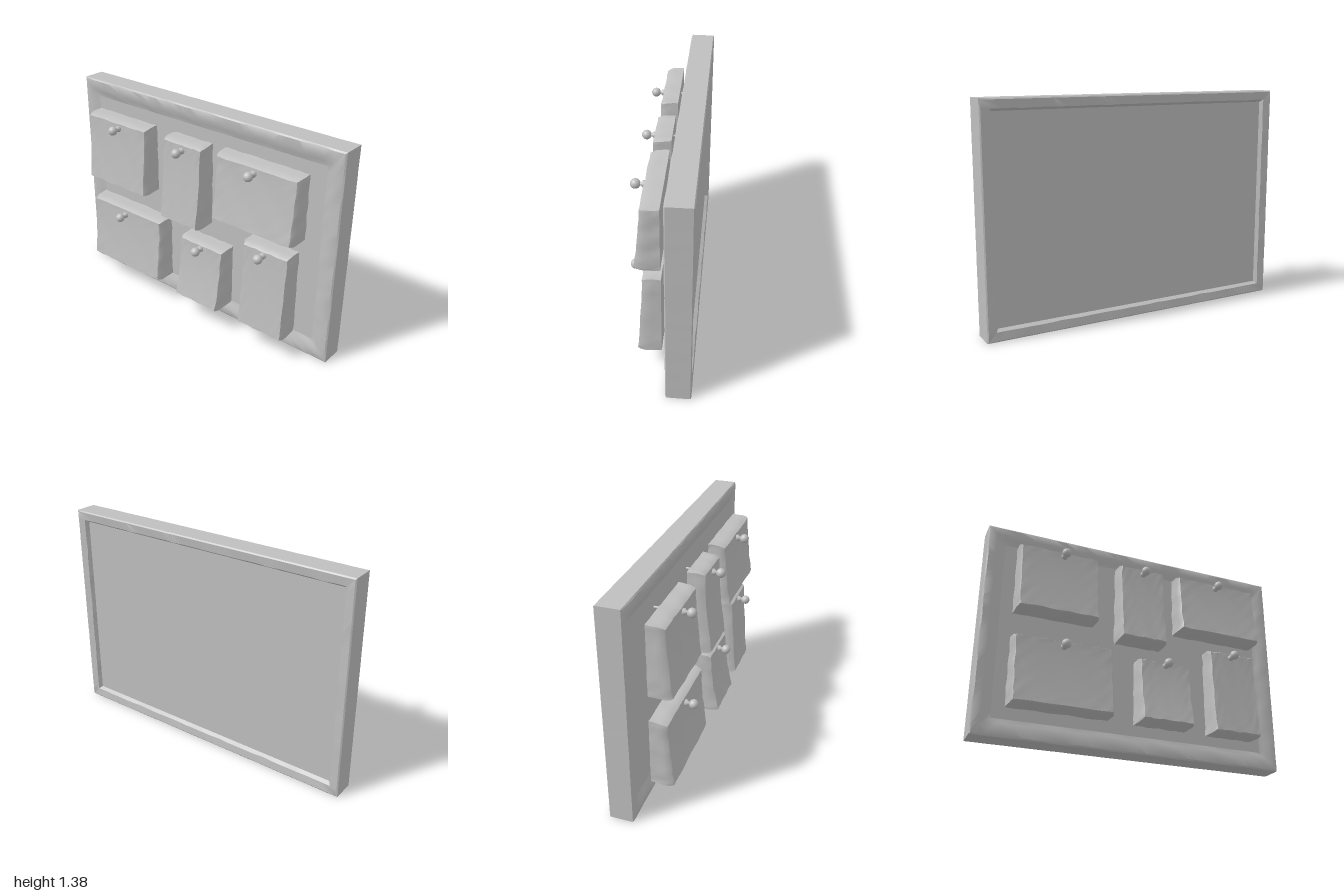
import * as THREE from 'three';
import { toCreasedNormals } from 'three/addons/utils/BufferGeometryUtils.js';

const W = 2, H = 1.38;
const clay = new THREE.MeshStandardMaterial({ color: 0xbfbfbf });
clay.name = 'light grey';

// Smooth, repeatable unevenness in the range -1..1
const wobble = (a, b, seed = 0) =>
  0.5 * Math.sin(a * 17 + b * 11 + seed * 2.3) + 0.3 * Math.sin(a * 41 - b * 29 + seed * 5.1) + 0.2 * Math.sin(b * 67 + a * 53 + seed);

function part(name, geometry) {
  const mesh = new THREE.Mesh(geometry, clay);
  mesh.name = name;
  return mesh;
}

// Frame: nested rectangles [inset, z, roughness], from the back opening round to the front opening
function frameGeometry() {
  const rings = [
    [0.072, -0.162, 0], [0.056, -0.185, 0.004], [0.008, -0.19, 0], [0, -0.184, 0.001],
    [0, -0.044, 0.001], [0.008, -0.037, 0.002], [0.055, -0.036, 0.003], [0.085, -0.048, 0.006], [0.115, -0.056, 0]
  ];
  const n = 28, count = n * 4;
  const corners = [[-1, -1], [1, -1], [1, 1], [-1, 1]];
  const positions = [], index = [];
  rings.forEach(([inset, z, rough], r) => {
    for (let k = 0; k < count; k++) {
      const c = Math.floor(k / n), t = (k % n) / n;
      const [ax, ay] = corners[c], [bx, by] = corners[(c + 1) % 4];
      const sx = ax + (bx - ax) * t, sy = ay + (by - ay) * t;
      const d = rough * wobble(sx, sy, r);
      positions.push(sx * (W / 2 - inset - Math.abs(d)), H / 2 + sy * (H / 2 - inset - Math.abs(d)), z + d * 0.7);
      if (r < rings.length - 1) {
        const a = r * count + k, b = r * count + (k + 1) % count;
        index.push(a, b, a + count, b, b + count, a + count);
      }
    }
  });
  const g = new THREE.BufferGeometry();
  g.setAttribute('position', new THREE.Float32BufferAttribute(positions, 3));
  g.setIndex(index);
  return toCreasedNormals(g, 0.7);
}

// Note: a thick slab that is thin at the top and curls forward at the bottom
function noteGeometry(x0, x1, y0, y1, curl, seed) {
  const g = new THREE.BoxGeometry(2, 2, 1, 14, 14, 4);
  const p = g.attributes.position;
  const w = (x1 - x0) / 2, h = (y1 - y0) / 2;
  for (let i = 0; i < p.count; i++) {
    const u = Math.sin(p.getX(i) * Math.PI / 2), v = Math.sin(p.getY(i) * Math.PI / 2);
    const s = p.getZ(i) + 0.5, t = (1 - v) / 2;
    const edge = Math.max(Math.abs(u), Math.abs(v)) > 0.999;
    let depth = 0.108 + curl * Math.pow(t, 1.6);
    if (edge) depth -= 0.01;
    depth += 0.003 * wobble(u * 0.4, v * 0.4, seed);
    // slightly softened and uneven outline
    const pinch = 0.006 * (s === 1 ? 1 : 0);
    const x = u * (w - pinch) + 0.004 * wobble(v * 0.5, s * 0.1, seed);
    const y = v * (h - pinch) + 0.004 * wobble(u * 0.5, s * 0.1, seed + 4) + 0.006 * (0.5 - s);
    p.setXYZ(i, (x0 + x1) / 2 + x, (y0 + y1) / 2 + y, 0.002 + s * depth);
  }
  g.deleteAttribute('normal');
  g.deleteAttribute('uv');
  return toCreasedNormals(g, 0.75);
}

// Pin: round head, flared neck and, where it comes through, a blunt tip
function pin(x, y, pierces) {
  const group = new THREE.Group();
  group.name = 'pin';
  const head = part('pinHead', new THREE.SphereGeometry(0.029, 20, 14));
  head.position.z = 0.164;
  const profile = [[0, 0.09], [0.02, 0.09], [0.02, 0.122], [0.01, 0.132], [0.01, 0.15]];
  const neck = part('pinNeck', new THREE.LatheGeometry(profile.map(([r, z]) => new THREE.Vector2(r, z)), 14));
  neck.rotation.x = Math.PI / 2;
  group.add(head, neck);
  if (pierces) {
    const tip = part('pinTip', new THREE.SphereGeometry(0.014, 12, 8));
    tip.position.z = -0.017;
    const shaft = part('pinShaft', new THREE.CylinderGeometry(0.007, 0.007, 0.07, 8));
    shaft.rotation.x = Math.PI / 2;
    shaft.position.z = -0.025;
    group.add(tip, shaft);
  }
  group.position.set(x, y, 0);
  return group;
}

export function createModel() {
  const model = new THREE.Group();
  model.name = 'noticeBoard';
  model.add(part('frame', frameGeometry()));

  // Backing panel set into the frame
  const panel = part('panel', new THREE.BoxGeometry(W - 0.14, H - 0.14, 0.106));
  panel.position.set(0, H / 2, -0.109);
  model.add(panel);

  // x0, x1, y0, y1, curl, pin x, pin y, pin comes through
  const notes = [
    [-0.82, -0.31, 0.765, 1.21, 0.035, -0.545, 1.165, true],
    [-0.165, 0.14, 0.68, 1.21, 0.045, -0.01, 1.16, true],
    [0.245, 0.815, 0.81, 1.215, 0.04, 0.52, 1.17, false],
    [-0.82, -0.2, 0.165, 0.6, 0.035, -0.52, 0.55, false],
    [-0.03, 0.31, 0.16, 0.575, 0.055, 0.14, 0.54, false],
    [0.46, 0.785, 0.155, 0.715, 0.035, 0.61, 0.675, true]
  ];
  notes.forEach(([x0, x1, y0, y1, curl, px, py, pierces], i) => {
    const group = new THREE.Group();
    group.name = 'pinnedNote';
    group.add(part('note', noteGeometry(x0, x1, y0, y1, curl, i + 1)), pin(px, py, pierces));
    model.add(group);
  });
  return model;
}
